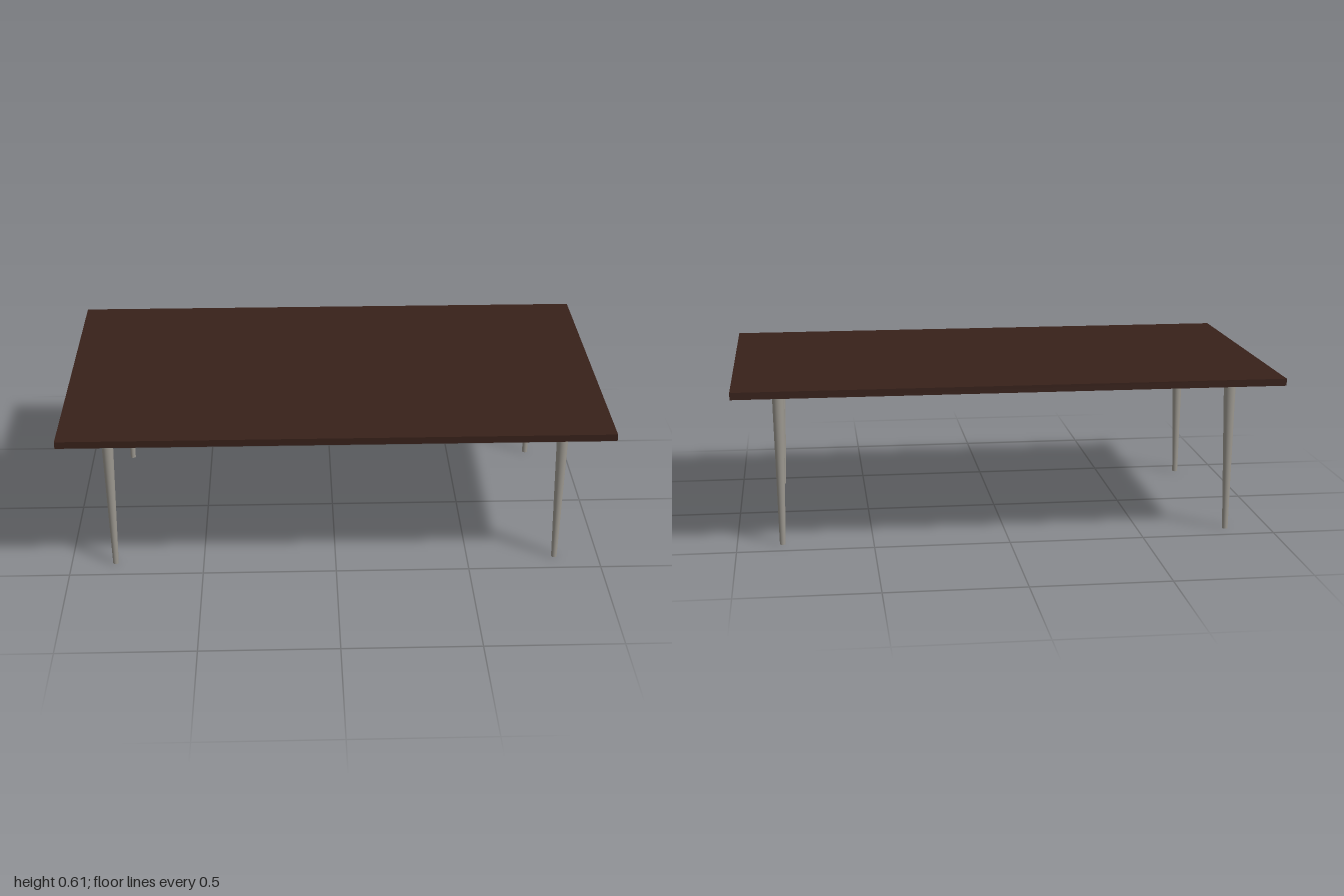
import * as THREE from 'three';

export function createModel() {
  const model = new THREE.Group();
  model.name = 'table';

  const wood = new THREE.MeshStandardMaterial({ color: 0x38211a });
  const metal = new THREE.MeshStandardMaterial({ color: 0x9c9890 });

  const height = 0.61, thickness = 0.026;
  const legHeight = height - thickness;

  // Thin rectangular top
  const top = new THREE.Mesh(new THREE.BoxGeometry(2, thickness, 1.168), wood);
  top.name = 'tableTop';
  top.position.y = height - thickness / 2;
  model.add(top);

  // Four round legs, tapering towards the floor
  const legGeometry = new THREE.CylinderGeometry(0.0225, 0.0105, legHeight, 32);
  for (const [zName, z] of [['front', 0.418], ['back', -0.418]]) {
    for (const [xName, x] of [['Left', 0.834], ['Right', -0.834]]) {
      const leg = new THREE.Mesh(legGeometry, metal);
      leg.name = `${zName}${xName}Leg`;
      leg.position.set(x, legHeight / 2, z);
      model.add(leg);
    }
  }

  return model;
}
